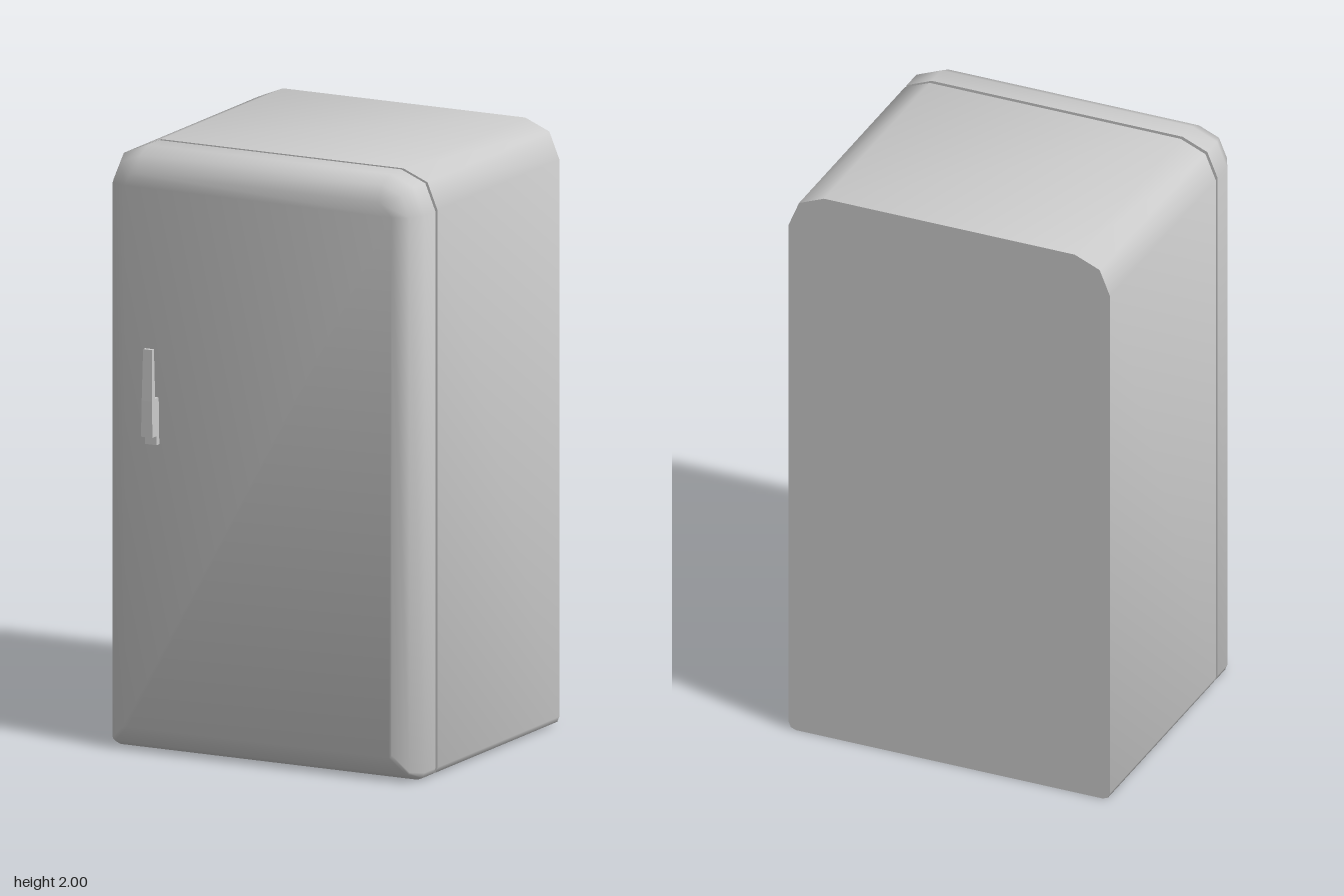
import * as THREE from 'three';
import { toCreasedNormals } from 'three/addons/utils/BufferGeometryUtils.js';

const HALF_W = 0.57, HEIGHT = 2;
const TOP_R = 0.125, BOTTOM_R = 0.025;

// Cabinet outline, counter-clockwise seen from the front, shrunk by an inset
function outline(inset) {
  const points = [];
  const x = HALF_W - inset, y0 = inset, y1 = HEIGHT - inset;
  const corners = [[1, 1, TOP_R], [-1, 1, TOP_R], [-1, -1, BOTTOM_R], [1, -1, BOTTOM_R]];
  corners.forEach(([sx, sy, radius], q) => {
    const r = Math.max(radius - inset, 0.01);
    const cx = sx * (x - r), cy = sy > 0 ? y1 - r : y0 + r;
    for (let i = 0; i <= 2; i++) {
      const a = (q + i / 2) * Math.PI / 2;
      points.push([cx + r * Math.cos(a), cy + r * Math.sin(a)]);
    }
  });
  return points;
}

// Skin a list of [z, inset] sections from back to front and close both ends
function loft(sections) {
  const positions = [], index = [];
  const n = outline(0).length;
  for (const [z, inset] of sections)
    for (const [x, y] of outline(inset)) positions.push(x, y, z);
  for (let s = 0; s < sections.length - 1; s++)
    for (let i = 0; i < n; i++) {
      const a = s * n + i, b = s * n + (i + 1) % n;
      index.push(a, b, b + n, a, b + n, a + n);
    }
  const last = (sections.length - 1) * n;
  for (let i = 1; i < n - 1; i++) {
    index.push(0, i + 1, i);
    index.push(last, last + i, last + i + 1);
  }
  const geometry = new THREE.BufferGeometry();
  geometry.setAttribute('position', new THREE.Float32BufferAttribute(positions, 3));
  geometry.setIndex(index);
  return toCreasedNormals(geometry, THREE.MathUtils.degToRad(55));
}

// Side profile (z, y) given thickness across x, narrowing toward the top
function handleGeometry() {
  const profile = [[0.465, 1.03], [0.493, 1.03], [0.493, 1.06], [0.522, 1.06], [0.521, 1.18],
    [0.517, 1.35], [0.502, 1.35], [0.499, 1.185], [0.465, 1.185]];
  const shape = new THREE.Shape(profile.map(([z, y]) => new THREE.Vector2(z, y)));
  const width = 0.042;
  const geometry = new THREE.ExtrudeGeometry(shape, { depth: width, bevelEnabled: false });
  geometry.translate(0, 0, -width / 2).rotateY(-Math.PI / 2);
  const p = geometry.attributes.position;
  for (let i = 0; i < p.count; i++) {
    const t = THREE.MathUtils.clamp((p.getY(i) - 1.06) / 0.29, 0, 1);
    p.setX(i, p.getX(i) * (1 - 0.24 * t));
  }
  geometry.computeVertexNormals();
  return geometry;
}

export function createModel() {
  const model = new THREE.Group();
  model.name = 'refrigerator';
  const material = new THREE.MeshStandardMaterial({ color: 0xcccccc });
  const add = (name, geometry) => {
    const mesh = new THREE.Mesh(geometry, material);
    mesh.name = name;
    model.add(mesh);
    return mesh;
  };

  add('cabinet', loft([[-0.522, 0], [0.31, 0]]));
  // Recessed gasket between cabinet and door
  add('doorSeal', loft([[0.305, 0.012], [0.33, 0.012]]));
  // Door with rounded front edge
  add('door', loft([[0.325, 0], [0.4, 0], [0.455, 0.025], [0.475, 0.08]]));
  add('doorHandle', handleGeometry()).position.x = -0.384;

  return model;
}
